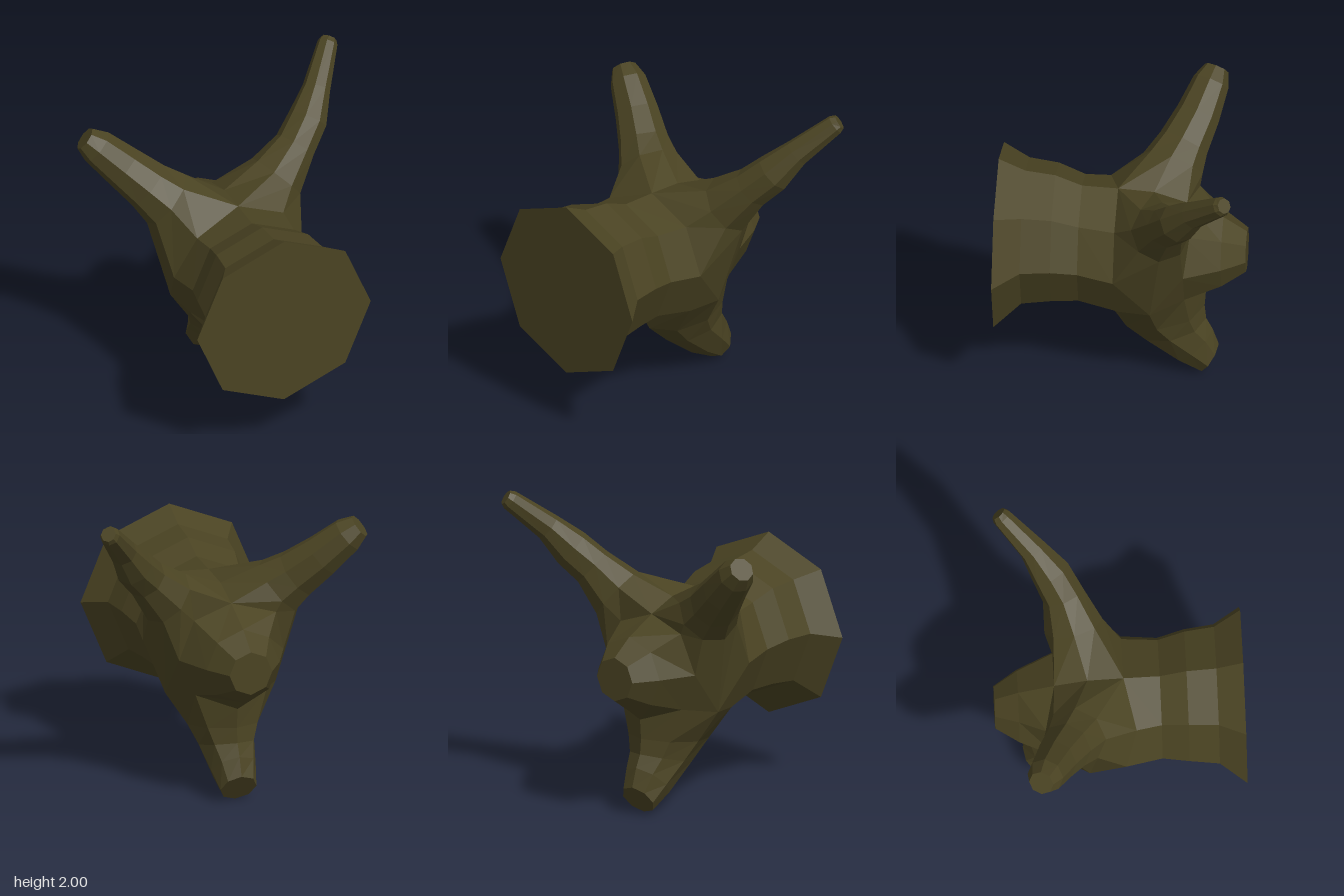
import * as THREE from 'three';

const V = (x, y, z) => new THREE.Vector3(x, y, z);
const CX = -0.05; // the trunk is slightly off centre
const SIDES = 8;

const material = new THREE.MeshStandardMaterial({ color: 0x4a4322, flatShading: true });

function meshFromTriangles(name, points) {
  const geometry = new THREE.BufferGeometry().setFromPoints(points);
  geometry.computeVertexNormals();
  const mesh = new THREE.Mesh(geometry, material);
  mesh.name = name;
  return mesh;
}

// Skin between rings; rings run counter-clockwise about the loft direction unless flipped
function loft(name, rings, { flip = false, capStart = false, capEnd = false } = {}) {
  if (flip) rings = rings.map((r) => [...r].reverse());
  const tris = [];
  const fan = (r) => {
    for (let i = 1; i < r.length - 1; i++) tris.push(r[0], r[i], r[i + 1]);
  };
  for (let k = 0; k < rings.length - 1; k++) {
    const a = rings[k], b = rings[k + 1];
    for (let i = 0; i < SIDES; i++) {
      const j = (i + 1) % SIDES;
      tris.push(a[i], a[j], b[j], a[i], b[j], b[i]);
    }
  }
  if (capStart) fan([...rings[0]].reverse());
  if (capEnd) fan(rings[rings.length - 1]);
  return meshFromTriangles(name, tris);
}

// Eight points round c: f is the radius vector at 0 degrees, u at 90 degrees
function ring(c, f, u) {
  return Array.from({ length: SIDES }, (_, i) => {
    const t = (i / SIDES) * Math.PI * 2;
    return c.clone().addScaledVector(f, Math.cos(t)).addScaledVector(u, Math.sin(t));
  });
}

// Side horn: stations are [x, y, z, radius], framed along the path
function horn(name, base, stations, side) {
  const centres = stations.map(([x, y, z]) => V(x, y, z));
  const rings = centres.map((c, i) => {
    const prev = i ? centres[i - 1] : V(side * 0.1 + CX, 1.1, -0.2);
    const next = centres[Math.min(i + 1, centres.length - 1)];
    const d = next.clone().sub(prev).normalize();
    const f = V(0, 0, 1).addScaledVector(d, -d.z).normalize();
    const u = f.clone().cross(d).multiplyScalar(side);
    const r = stations[i][3];
    return ring(c, f.multiplyScalar(r), u.multiplyScalar(r));
  });
  return loft(name, [base, ...rings], { flip: side > 0, capEnd: true });
}

export function createModel() {
  const group = new THREE.Group();
  group.name = 'branchedStump';

  // Junction points shared by the trunk, the limbs and the stub
  const top = V(CX, 1.375, 0.03), saddle = V(CX, 1.36, -0.2), backTop = V(CX, 1.29, -0.41);
  const front = V(CX, 0.515, 0.1), backLow = V(CX, 0.62, -0.53);
  const left = {
    corner: V(0.26, 1.25, 0.03), side: V(0.39, 0.945, 0.03), low: V(0.27, 0.64, 0),
    under: V(0.32, 0.66, -0.2),
    backLow: V(0.19, 0.7, -0.41), backSide: V(0.3, 0.945, -0.41), backCorner: V(0.2, 1.2, -0.41),
  };
  const right = {};
  for (const k in left) right[k] = V(2 * CX - left[k].x, left[k].y, left[k].z);
  right.corner.set(-0.36, 1.25, 0.1);
  right.backCorner.set(-0.33, 1.22, -0.47);

  // Trunk: flared octagonal cut end, narrowing to the junction [z, centre y, radius]
  const trunk = [[0.79, 0.967, 0.595], [0.62, 1.01, 0.47], [0.43, 1.01, 0.445], [0.26, 0.977, 0.407]]
    .map(([z, y, r]) => ring(V(CX, y, z), V(0, r, 0), V(r, 0, 0)));
  trunk.push([top, left.corner, left.side, left.low, front, right.low, right.side, right.corner]);
  group.add(loft('trunk', trunk, { capStart: true }));

  // Rear stub
  const middle = ring(V(CX, 0.945, -0.64), V(0, 0.245, 0), V(0.245, 0, 0));
  const end = ring(V(CX, 0.943, -0.79), V(0, 0.143, 0), V(0.143, 0, 0));
  group.add(loft('rearStub', [
    [backTop, left.backCorner, left.backSide, left.backLow, backLow,
      right.backLow, right.backSide, right.backCorner], middle, end,
  ], { capEnd: true }));

  // Upper horns
  const hornBase = (s) => [s.corner, top, saddle, backTop, s.backCorner, s.backSide, s.under, s.side];
  group.add(horn('leftHorn', hornBase(left), [
    [0.335, 1.33, -0.27, 0.19], [0.49, 1.49, -0.33, 0.135], [0.605, 1.61, -0.405, 0.128],
    [0.71, 1.755, -0.51, 0.09], [0.865, 1.945, -0.7, 0.065], [0.883, 1.963, -0.72, 0.05],
  ], 1));
  group.add(horn('rightHorn', hornBase(right), [
    [-0.41, 1.33, -0.29, 0.2], [-0.51, 1.42, -0.35, 0.165], [-0.65, 1.55, -0.43, 0.142],
    [-0.8, 1.695, -0.5, 0.118], [-0.87, 1.755, -0.53, 0.08],
  ], -1));

  // Lower limb: [front y, front z, rear y, rear z, half width]
  const limb = [
    [0.41, 0.05, 0.49, -0.52, 0.235], [0.27, -0.1, 0.39, -0.53, 0.185],
    [0.09, -0.33, 0.31, -0.57, 0.15], [0.005, -0.49, 0.19, -0.61, 0.12],
  ].map(([fy, fz, ry, rz, w]) =>
    ring(V(CX, (fy + ry) / 2, (fz + rz) / 2), V(0, (fy - ry) / 2, (fz - rz) / 2), V(w, 0, 0)));
  group.add(loft('lowerLimb', [
    [front, left.low, left.under, left.backLow, backLow, right.backLow, right.under, right.low], ...limb,
  ], { flip: true, capEnd: true }));

  // Webs closing the sides between each horn and the lower limb
  const web = (s) => [s.side, s.low, s.under, s.under, s.backLow, s.backSide];
  group.add(meshFromTriangles('leftWeb', web(left)));
  group.add(meshFromTriangles('rightWeb', web(right).reverse()));

  return group;
}
